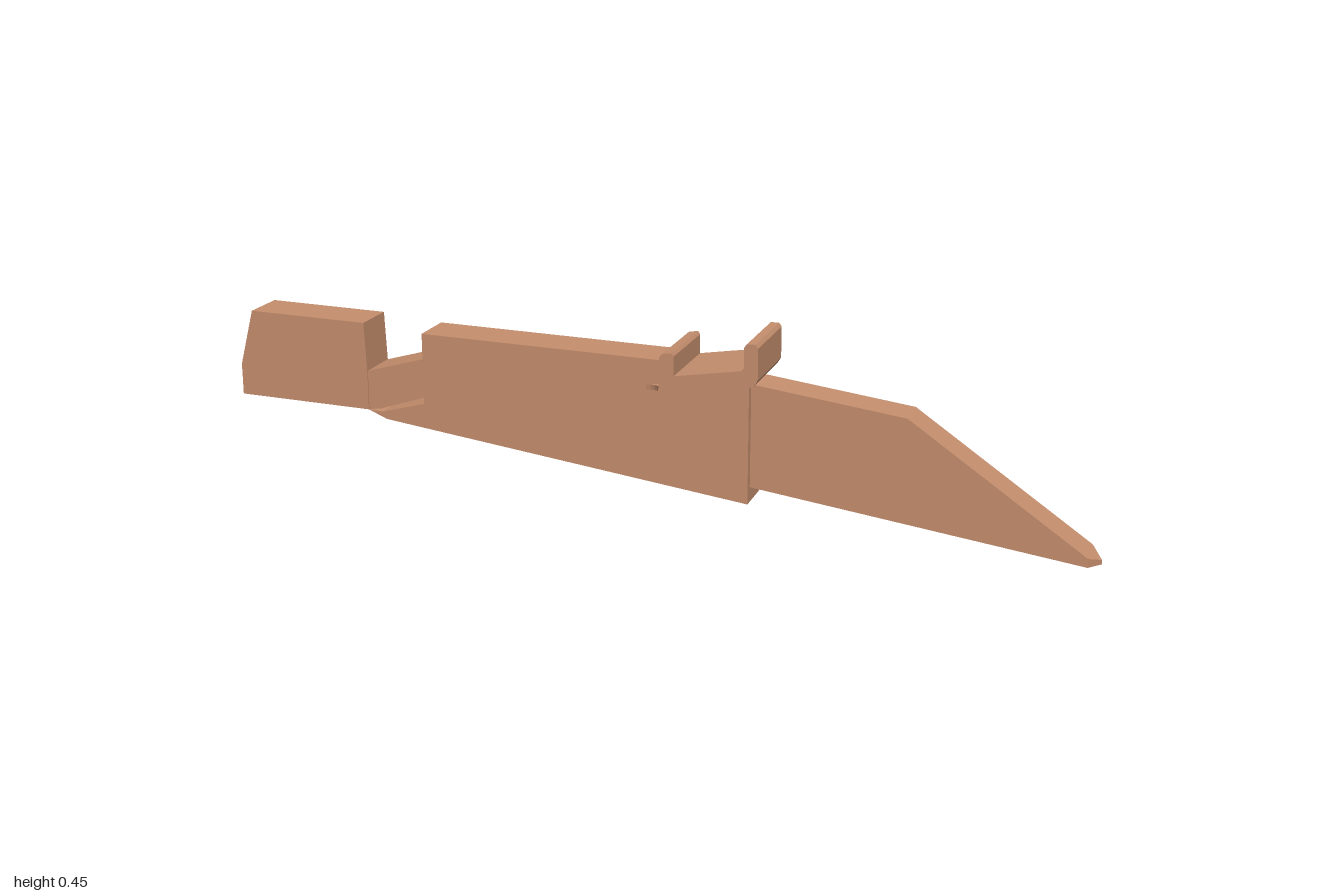
import * as THREE from 'three';
import { ConvexGeometry } from 'three/addons/geometries/ConvexGeometry.js';

const clay = new THREE.MeshStandardMaterial({ color: 0xc68f6e });
clay.name = 'clay brown';

export function createModel() {
  const model = new THREE.Group();

  const add = (name, geometry) => {
    const mesh = new THREE.Mesh(geometry, clay);
    mesh.name = name;
    model.add(mesh);
    return mesh;
  };

  // Side profile in x/y, extruded from z0 to z1
  const slab = (name, points, z0, z1) => {
    const shape = new THREE.Shape(points.map(([x, y]) => new THREE.Vector2(x, y)));
    const geometry = new THREE.ExtrudeGeometry(shape, { depth: z1 - z0, bevelEnabled: false });
    return add(name, geometry.translate(0, 0, z0));
  };

  // Rear block with a sloping end
  slab('rearBlock', [
    [-1, 0.217], [-0.675, 0.208], [-0.675, 0.3], [-0.68, 0.414], [-0.965, 0.421], [-1, 0.29],
  ], -0.055, 0.055);

  // Narrow link between rear block and body
  slab('link', [
    [-0.675, 0.208], [-0.645, 0.212], [-0.53, 0.25], [-0.53, 0.341], [-0.675, 0.3],
  ], -0.053, 0.052);

  // Main body with a thin lower prong under the slit
  slab('body', [
    [-0.675, 0.208], [-0.63, 0.189], [0.235, 0.074], [0.235, 0.352], [0.04, 0.325],
    [0.04, 0.386], [-0.535, 0.4], [-0.535, 0.234], [-0.64, 0.206],
  ], -0.055, 0.055);

  // Blade, flush with the body at the back and stepped in at the front
  slab('blade', [
    [0.23, 0.109], [0.975, 0.007], [0.975, 0.027], [0.58, 0.299], [0.23, 0.345],
  ], -0.055, 0.037);

  // Wedge-shaped blade tip
  const tip = [[1, 0.011, -0.009], [1, 0.001, -0.009]];
  for (const z of [-0.055, 0.037]) tip.push([0.975, 0.027, z], [0.975, 0.007, z]);
  add('bladeTip', new ConvexGeometry(tip.map((p) => new THREE.Vector3(...p))));

  // Cross tray with rounded lips
  slab('tray', [
    [0.043, 0.324], [0.245, 0.354], [0.258, 0.359], [0.266, 0.372],
    [0.266, 0.443], [0.26, 0.451], [0.241, 0.451], [0.235, 0.443],
    [0.235, 0.395], [0.228, 0.39], [0.078, 0.366],
    [0.078, 0.41], [0.073, 0.417], [0.052, 0.414], [0.045, 0.406],
  ], -0.1, 0.1);

  // Thin flare blending the tray into the body sides
  const flare = new THREE.Shape();
  flare.moveTo(0, -0.055);
  flare.quadraticCurveTo(0.036, -0.06, 0.045, -0.098);
  flare.lineTo(0.24, -0.098);
  flare.lineTo(0.24, 0.098);
  flare.lineTo(0.045, 0.098);
  flare.quadraticCurveTo(0.036, 0.06, 0, 0.055);
  const flareGeometry = new THREE.ExtrudeGeometry(flare, {
    depth: 0.012, bevelEnabled: false, curveSegments: 6,
  });
  flareGeometry.rotateX(-Math.PI / 2).rotateZ(0.147);
  add('trayFlare', flareGeometry).position.set(0.002, 0.316, 0);

  return model;
}
